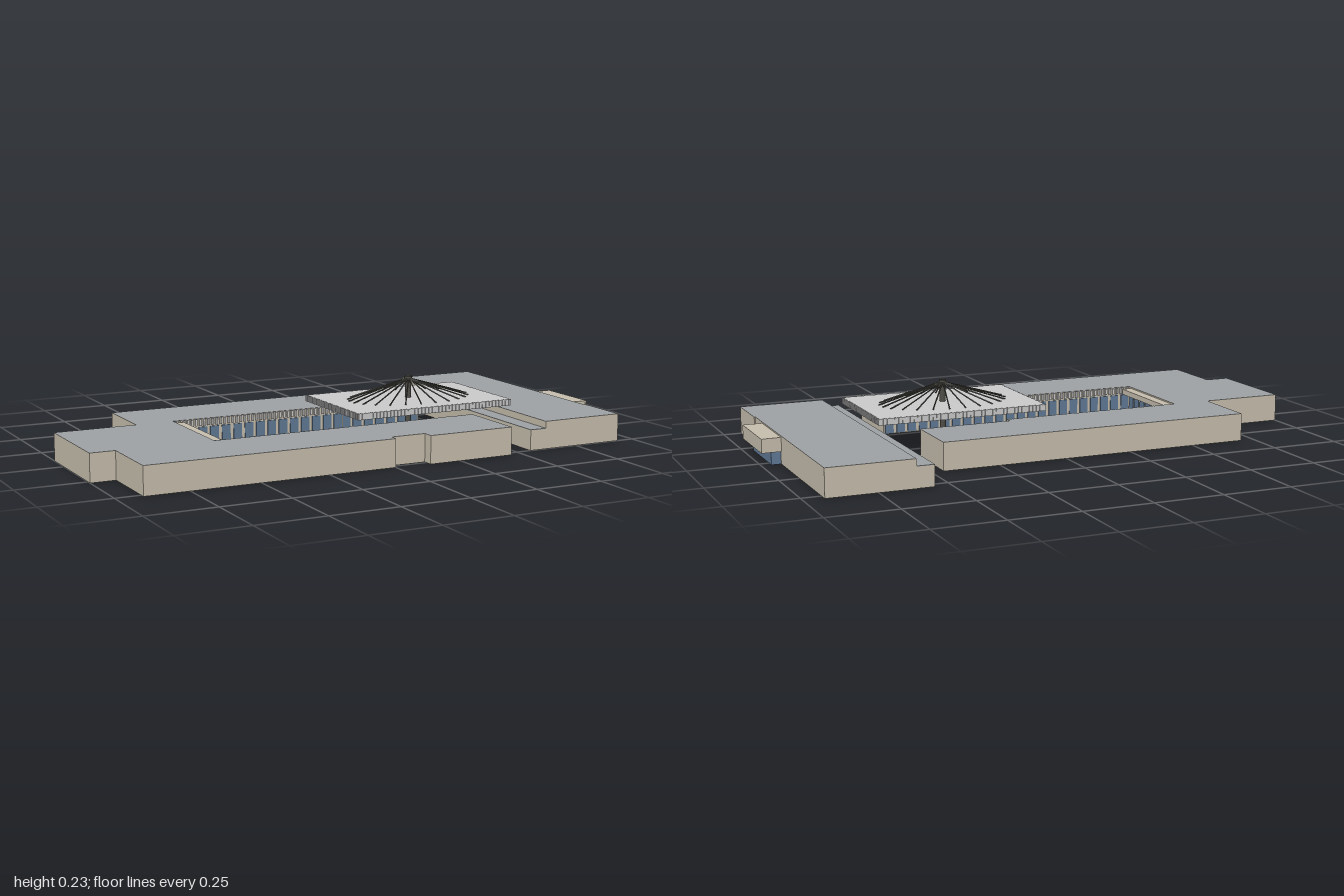
import * as THREE from 'three';

const paint = (name, color, side = THREE.FrontSide) => {
  const m = new THREE.MeshStandardMaterial({ color, side });
  m.name = name;
  return m;
};

export function createModel() {
  const model = new THREE.Group();
  model.name = 'courtyardBuilding';
  const wallPaint = paint('beige wall', 0xc6bdac, THREE.DoubleSide);
  const roofPaint = paint('grey roof', 0x9da1a4, THREE.DoubleSide);
  const canopyPaint = paint('light grey canopy', 0xcacaca);
  const glass = paint('blue glass', 0x5f7894);
  const steel = paint('dark steel', 0x4c4b44);

  const add = (name, geometry, material, parent = model) => {
    const mesh = new THREE.Mesh(geometry, material);
    mesh.name = name;
    parent.add(mesh);
    return mesh;
  };
  const group = (name) => {
    const g = new THREE.Group();
    g.name = name;
    model.add(g);
    return g;
  };
  // Box given by its limits on each axis
  const box = (name, [x0, x1], [y0, y1], [z0, z1], material, parent) => {
    const mesh = add(name, new THREE.BoxGeometry(x1 - x0, y1 - y0, z1 - z0), material, parent);
    mesh.position.set((x0 + x1) / 2, (y0 + y1) / 2, (z0 + z1) / 2);
    return mesh;
  };

  // Hollow block: walls around an x,z outline, with a flat roof on top
  function block(name, outline, height) {
    const g = group(name);
    const shape = new THREE.Shape(outline.map(([x, z]) => new THREE.Vector2(x, -z)));
    const roof = new THREE.ShapeGeometry(shape).rotateX(-Math.PI / 2).translate(0, height, 0);
    add(name + 'Roof', roof, roofPaint, g);
    const p = [];
    outline.forEach(([x, z], i) => {
      const [u, w] = outline[(i + 1) % outline.length];
      p.push(x, 0, z, x, height, z, u, height, w, x, 0, z, u, height, w, u, 0, w);
    });
    const walls = new THREE.BufferGeometry();
    walls.setAttribute('position', new THREE.Float32BufferAttribute(p, 3));
    walls.computeVertexNormals();
    add(name + 'Walls', walls, wallPaint, g);
    return g;
  }

  // Main U-shaped wing around the courtyard
  block('mainWing', [
    [-0.7, -0.35], [0.457, -0.35], [0.457, -0.125], [0.12, -0.125], [0.12, -0.1], [-0.56, -0.1],
    [-0.56, 0.27], [0.457, 0.27], [0.457, 0.53], [0.13, 0.53], [0.13, 0.49], [0, 0.49],
    [0, 0.52], [-0.91, 0.52], [-0.91, 0.27], [-1, 0.27], [-1, -0.1], [-0.7, -0.1],
  ], 0.1);

  // Detached side wing with its lower strip facing the courtyard
  block('sideWing', [
    [0.62, -0.535], [0.93, -0.535], [0.93, 0.3], [0.935, 0.3], [0.935, 0.5], [0.62, 0.5],
  ], 0.1);
  box('lowStrip', [0.557, 0.62], [0, 0.073], [-0.533, 0.5], wallPaint);
  box('lowStripRoof', [0.557, 0.62], [0.073, 0.075], [-0.533, 0.5], roofPaint);

  // Entrance on the far side of the side wing
  box('entranceGlass', [0.93, 0.965], [0, 0.045], [-0.03, 0.21], glass);
  box('entranceHood', [0.93, 0.995], [0.045, 0.095], [-0.037, 0.212], wallPaint);
  box('entranceHoodTrim', [0.995, 1], [0.045, 0.095], [-0.04, 0.213], wallPaint);

  // Glazing and ribbed fascia along a courtyard wall; inward is the side facing the court
  function glazing(name, x0, z0, x1, z1, ribs = true) {
    const g = group(name);
    const length = Math.hypot(x1 - x0, z1 - z0);
    g.position.set(x0, 0, z0);
    g.rotation.y = -Math.atan2(z1 - z0, x1 - x0);
    const bays = Math.round(length / 0.045), step = length / bays;
    for (let i = 0; i < bays; i++) {
      box('windowPane', [i * step + 0.006, (i + 1) * step - 0.006], [0.003, 0.07], [0, 0.004], glass, g);
    }
    const count = Math.round(length / 0.016);
    for (let i = 0; ribs && i < count; i++) {
      const x = (i + 0.5) * length / count;
      box('fasciaRib', [x - 0.004, x + 0.004], [0.075, 0.099], [0, 0.007], canopyPaint, g);
    }
  }
  glazing('northGlazing', -0.56, -0.1, 0.12, -0.1);
  glazing('northEndGlazing', 0.12, -0.125, 0.457, -0.125);
  glazing('southGlazing', 0.457, 0.27, -0.56, 0.27);
  glazing('westGlazing', -0.56, 0.27, -0.56, -0.1, false);

  // Courtyard ledge, path and pool edge
  box('courtLedge', [-0.56, -0.523], [0.075, 0.095], [-0.09, 0.255], wallPaint);
  box('courtPath', [-0.523, -0.36], [0, 0.006], [0.063, 0.1], wallPaint);
  const pool = group('poolEdge');
  for (const z of [0.02, 0.145]) box('poolLongEdge', [-0.418, -0.14], [0, 0.004], [z - 0.002, z + 0.002], steel, pool);
  for (const x of [-0.416, -0.142]) box('poolShortEdge', [x - 0.002, x + 0.002], [0, 0.004], [0.02, 0.145], steel, pool);

  // Suspended canopy with a ribbed rim and underside
  const canopy = group('canopy');
  const [cx0, cx1, cz0, cz1] = [-0.025, 0.608, -0.124, 0.294];
  box('canopySlab', [cx0 + 0.004, cx1 - 0.004], [0.13, 0.147], [cz0 + 0.004, cz1 - 0.004], canopyPaint, canopy);
  const rows = 30, columns = 45;
  for (let i = 0; i < rows; i++) {
    const z = cz0 + (i + 0.5) * (cz1 - cz0) / rows;
    box('canopyRib', [cx0, cx1], [0.124, 0.1465], [z - 0.004, z + 0.004], canopyPaint, canopy);
  }
  for (let i = 0; i < columns; i++) {
    const x = cx0 + (i + 0.5) * (cx1 - cx0) / columns;
    for (const z of [cz0, cz1 - 0.004]) {
      box('canopyTooth', [x - 0.004, x + 0.004], [0.124, 0.1465], [z, z + 0.004], canopyPaint, canopy);
    }
  }

  // Mast with collar and cap
  const mast = group('mast');
  mast.position.set(0.293, 0, 0.085);
  const drum = (name, r0, r1, y0, y1) =>
    add(name, new THREE.CylinderGeometry(r1, r0, y1 - y0, 16), steel, mast).position.y = (y0 + y1) / 2;
  drum('mastColumn', 0.011, 0.011, 0, 0.217);
  drum('mastCollar', 0.045, 0.045, 0.112, 0.124);
  drum('mastCap', 0.013, 0.013, 0.217, 0.226);

  // Cables fanning out from the cap to the canopy
  const cables = 24;
  for (let i = 0; i < cables; i++) {
    const a = (i + 0.5) / cables * Math.PI * 2;
    const top = new THREE.Vector3(Math.cos(a) * 0.009, 0.216, Math.sin(a) * 0.009);
    const end = new THREE.Vector3(Math.cos(a) * 0.24, 0.147, Math.sin(a) * 0.155);
    const path = new THREE.LineCurve3(top, end);
    add('cable', new THREE.TubeGeometry(path, 1, 0.0026, 6), steel, mast);
  }
  return model;
}
